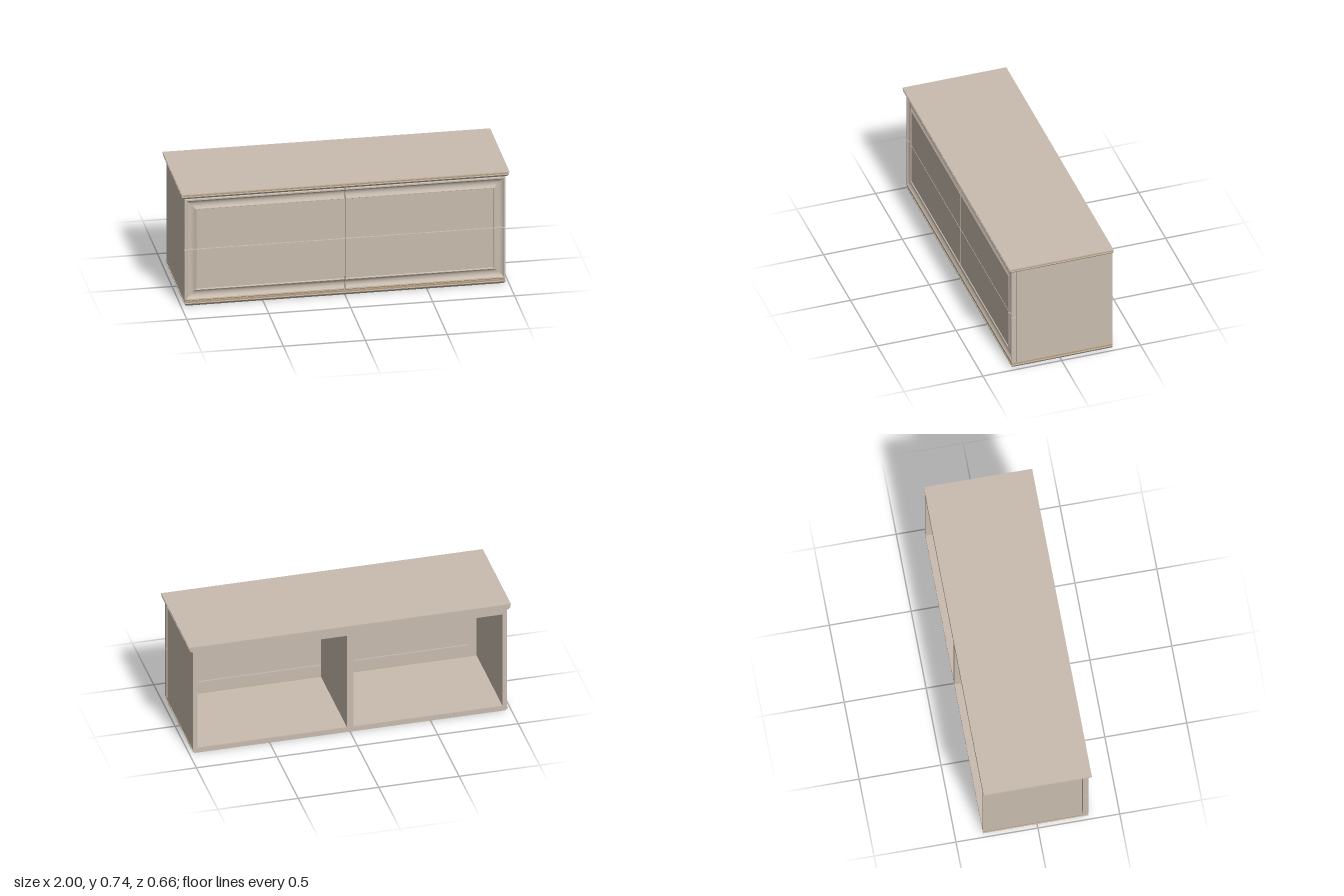
import * as THREE from 'three';
import { toCreasedNormals } from 'three/addons/utils/BufferGeometryUtils.js';

const BACK = -0.33;
const MID_Y = 0.3685; // height of the gap between the drawer rows

// frame moulding section: distance inward from the outer edge, depth z
const FRAME = [
  [0, 0.28], [0, 0.309], [0.004, 0.312], [0.012, 0.312], [0.017, 0.306], [0.024, 0.301],
  [0.034, 0.298], [0.046, 0.298], [0.056, 0.301], [0.064, 0.306], [0.067, 0.309],
  [0.071, 0.309], [0.074, 0.303], [0.078, 0.303], [0.078, 0.28],
];

export function createModel() {
  const group = new THREE.Group();
  const paint = new THREE.MeshStandardMaterial({ color: 0xc8bcae });
  paint.name = 'greige paint';
  const wood = new THREE.MeshStandardMaterial({ color: 0xba9f7a });
  wood.name = 'tan wood';

  const add = (name, geometry, material = paint) => {
    const mesh = new THREE.Mesh(geometry, material);
    mesh.name = name;
    group.add(mesh);
    return mesh;
  };

  // box given by its limits
  const box = (name, x0, x1, y0, y1, z0, z1, material) => {
    const g = new THREE.BoxGeometry(x1 - x0, y1 - y0, z1 - z0);
    g.translate((x0 + x1) / 2, (y0 + y1) / 2, (z0 + z1) / 2);
    return add(name, g, material);
  };

  // full-width layer with a flush back; the lower edge may be drawn in as a chamfer
  const layer = (name, y0, y1, halfX, front, inset = 0, material = paint) => {
    const g = new THREE.BoxGeometry(1, 1, 1).toNonIndexed();
    const p = g.attributes.position;
    for (let i = 0; i < p.count; i++) {
      const low = p.getY(i) < 0;
      const cut = low ? inset : 0;
      p.setXYZ(i, Math.sign(p.getX(i)) * (halfX - cut), low ? y0 : y1,
        p.getZ(i) < 0 ? BACK : front - cut);
    }
    g.computeVertexNormals();
    return add(name, g, material);
  };

  // plinth, from the floor up
  layer('plinthChamfer', 0, 0.016, 0.98, 0.312, 0.013);
  layer('plinthEdge', 0.016, 0.021, 0.98, 0.312);
  layer('plinthWoodStrip', 0.021, 0.031, 0.976, 0.308, 0, wood);
  box('plinthBack', -0.975, 0.975, 0.021, 0.031, BACK - 0.001, BACK);

  // carcass, open at the back
  for (const s of [-1, 1]) {
    const a = s * 0.947, b = s * 0.975;
    box('sidePanel', Math.min(a, b), Math.max(a, b), 0.031, 0.706, BACK, 0.275);
  }
  box('centrePartition', -0.02, 0.02, 0.031, 0.706, BACK, 0.275);
  for (const s of [-1, 1]) {
    const x0 = s < 0 ? -0.947 : 0.02, x1 = s < 0 ? -0.02 : 0.947;
    box('floorPanel', x0, x1, 0.031, 0.035, BACK, 0.275);
    box('backRail', x0, x1, 0.675, 0.706, BACK, BACK + 0.025);
    box('frontRail', x0, x1, 0.665, 0.706, 0.25, 0.275);
  }

  // top with its stepped moulding
  layer('corniceChamfer', 0.705, 0.72, 0.998, 0.328, 0.016);
  layer('corniceEdge', 0.72, 0.724, 0.998, 0.328);
  layer('corniceWoodStrip', 0.724, 0.735, 0.993, 0.323, 0, wood);
  box('corniceBack', -0.993, 0.993, 0.724, 0.735, BACK - 0.001, BACK);
  layer('topBoard', 0.735, 0.741, 1, 0.33);

  // mitred frame bar of one drawer front, mirrored by sx and sy
  const section = new THREE.Shape(FRAME.map(([u, z]) => new THREE.Vector2(u, z)));
  const outX = 0.98, inX = 0.003, outH = 0.3335, inH = 0.0025;
  const frameBar = (horizontal, sx, sy) => {
    const g = new THREE.ExtrudeGeometry(section, { depth: 1, bevelEnabled: false });
    g.deleteAttribute('uv');
    const p = g.attributes.position;
    const lerp = THREE.MathUtils.lerp;
    const points = [];
    for (let i = 0; i < p.count; i++) {
      const u = p.getX(i), z = p.getY(i), t = p.getZ(i);
      const x = horizontal ? lerp(inX, outX - u, t) : outX - u;
      const h = horizontal ? outH - u : lerp(inH, outH - u, t);
      points.push(new THREE.Vector3(sx * x, MID_Y + sy * h, z));
    }
    // keep the faces turned outward after mirroring
    if ((horizontal ? -1 : 1) * sx * sy < 0) {
      for (let i = 0; i < points.length; i += 3) {
        [points[i + 1], points[i + 2]] = [points[i + 2], points[i + 1]];
      }
    }
    const out = new THREE.BufferGeometry().setFromPoints(points);
    return toCreasedNormals(out, 0.6);
  };

  // four drawer fronts; together they carry one frame
  for (const sx of [-1, 1]) {
    for (const sy of [-1, 1]) {
      const name = (sy > 0 ? 'upper' : 'lower') + (sx > 0 ? 'Left' : 'Right') + 'Drawer';
      add(name + 'Rail', frameBar(true, sx, sy));
      add(name + 'Stile', frameBar(false, sx, sy));
      const xs = [sx * inX, sx * (outX - 0.078)].sort((a, b) => a - b);
      const ys = [MID_Y + sy * inH, MID_Y + sy * (outH - 0.078)].sort((a, b) => a - b);
      box(name + 'Panel', xs[0], xs[1], ys[0], ys[1], 0.288, 0.303);
    }
  }
  return group;
}
